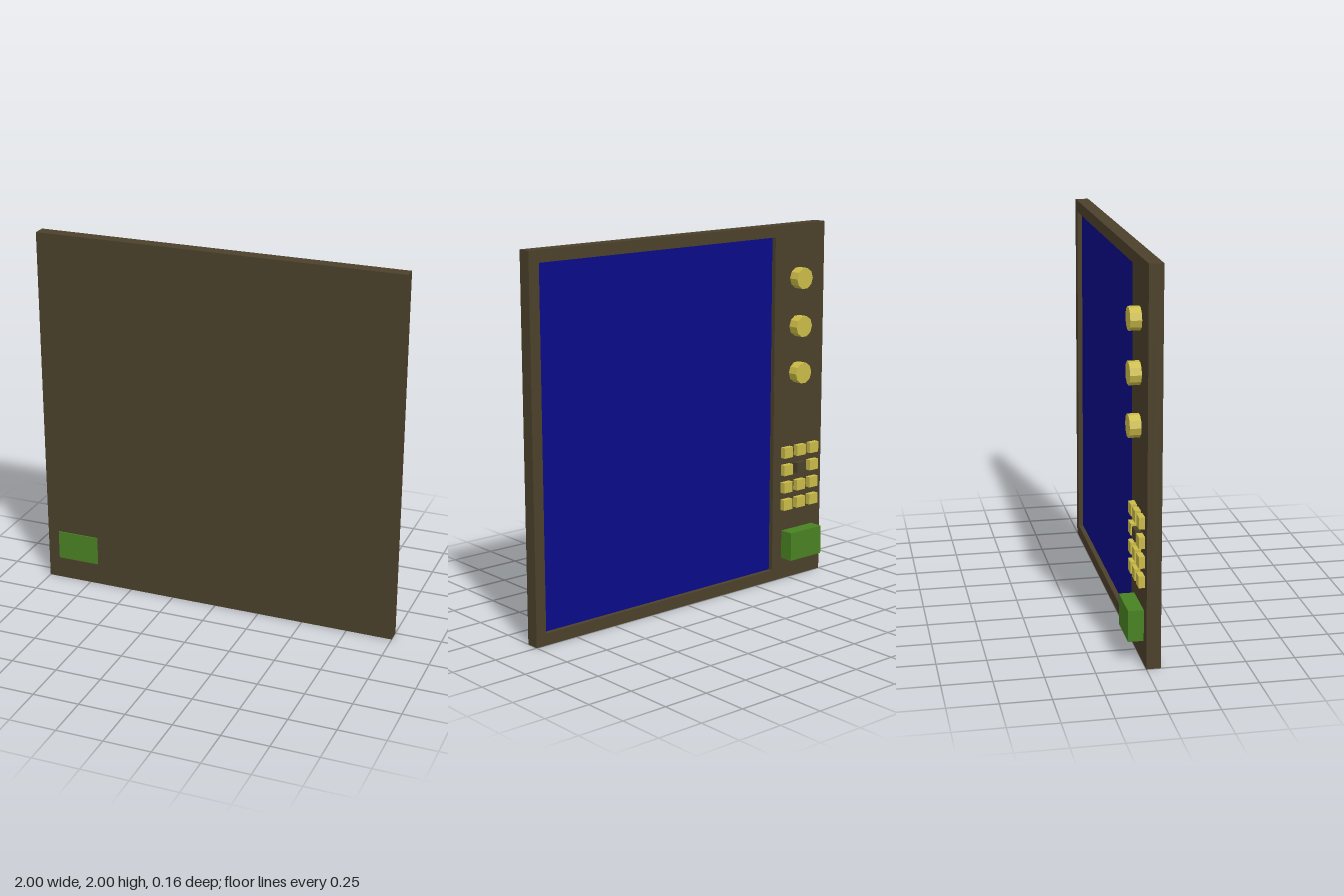
import * as THREE from 'three';

export function createModel() {
  const model = new THREE.Group();
  const mat = (name, color) => {
    const m = new THREE.MeshStandardMaterial({ color });
    m.name = name;
    return m;
  };
  const brown = mat('brown casing', 0x4b402b);
  const blue = mat('blue screen', 0x0a0a88);
  const yellow = mat('yellow control', 0xcbbb48);
  const green = mat('green block', 0x498222);

  const add = (name, geometry, material, x, y, z, parent = model) => {
    const mesh = new THREE.Mesh(geometry, material);
    mesh.name = name;
    mesh.position.set(x, y, z);
    parent.add(mesh);
    return mesh;
  };
  // Box given by its lower and upper corners
  const block = (name, material, [x0, y0, z0], [x1, y1, z1], parent) =>
    add(name, new THREE.BoxGeometry(x1 - x0, y1 - y0, z1 - z0), material,
      (x0 + x1) / 2, (y0 + y1) / 2, (z0 + z1) / 2, parent);
  const rectangle = (Type, x0, y0, x1, y1) => new Type([
    new THREE.Vector2(x0, y0), new THREE.Vector2(x1, y0),
    new THREE.Vector2(x1, y1), new THREE.Vector2(x0, y1)]);

  // Casing: solid plate with a raised frame around the screen opening
  const bezel = rectangle(THREE.Shape, -1, 0, 1, 2);
  bezel.holes.push(rectangle(THREE.Path, -0.63, 0.063, 0.94, 1.937));
  add('bezel', new THREE.ExtrudeGeometry(bezel, { depth: 0.03, bevelEnabled: false }), brown, 0, 0, 0);
  block('casingPlate', brown, [-1, 0, 0.03], [1, 2, 0.072]);
  block('screen', blue, [-0.63, 0.063, 0.026], [0.94, 1.937, 0.031]);

  // Column of faceted dials
  const dials = new THREE.Group();
  dials.name = 'dials';
  model.add(dials);
  const dialGeometry = new THREE.CylinderGeometry(0.059, 0.059, 0.06, 10, 1, false, Math.PI / 2)
    .rotateX(-Math.PI / 2).toNonIndexed();
  dialGeometry.computeVertexNormals();
  for (const y of [1.705, 1.44, 1.18]) add('dial', dialGeometry, yellow, -0.8, y, -0.027, dials);

  // Keypad, with one key in the casing colour
  const keypad = new THREE.Group();
  keypad.name = 'keypad';
  model.add(keypad);
  const keyGeometry = new THREE.BoxGeometry(0.065, 0.06, 0.035);
  for (let row = 0; row < 4; row++) {
    for (let col = 0; col < 3; col++) {
      const plain = row === 1 && col === 1;
      add('key', keyGeometry, plain ? brown : yellow,
        -0.92 + col * 0.099, 0.735 - row * 0.1, -0.0125, keypad);
    }
  }

  // Block passing right through the casing
  block('slotBlock', green, [-0.935, 0.122, -0.078], [-0.7, 0.283, 0.078]);

  return model;
}
